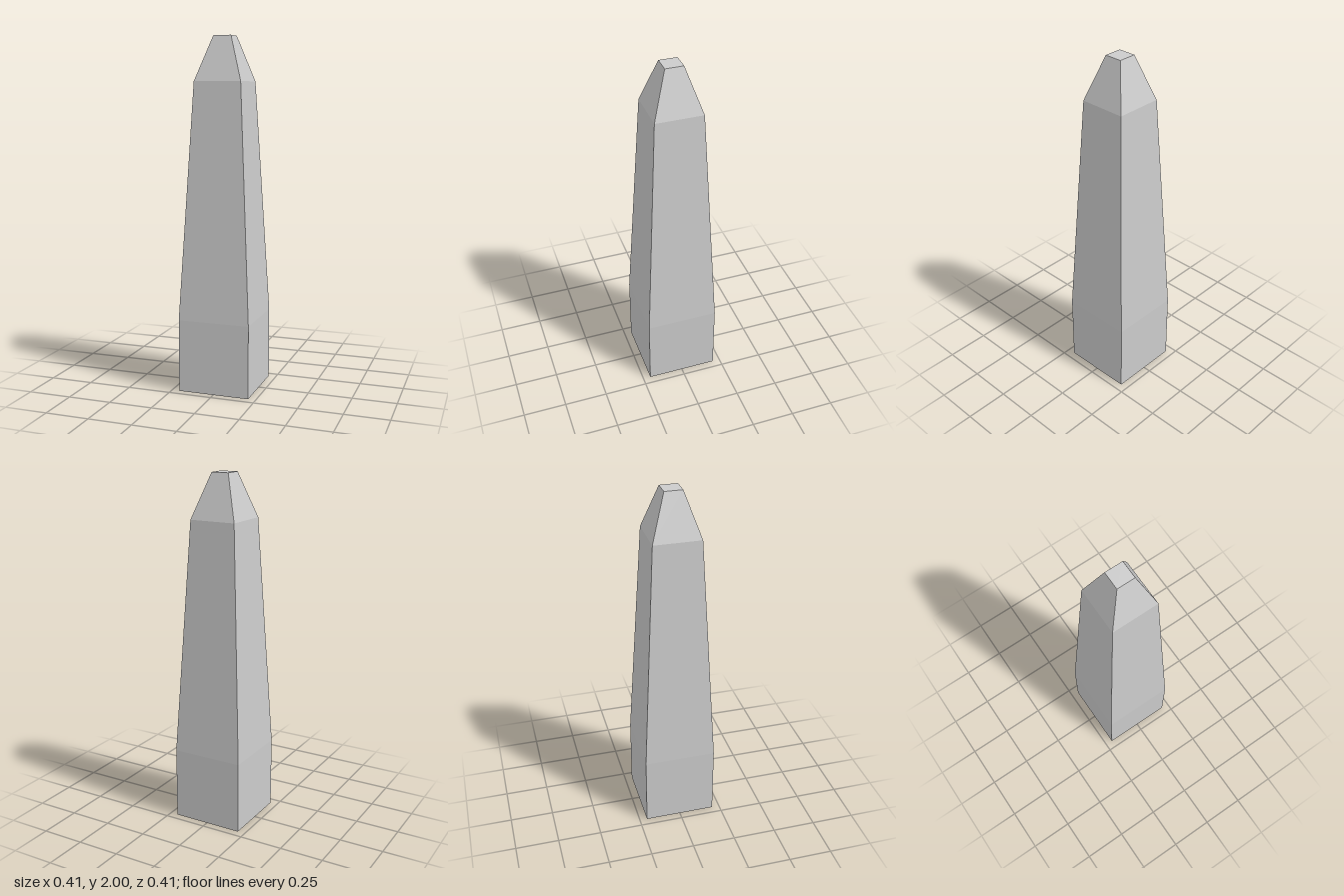
import * as THREE from 'three';

// Square cross-sections from bottom to top: [height, half width]
const SECTIONS = [
  [0, 0.206],
  [0.415, 0.206],
  [1.75, 0.135],
  [2, 0.051],
];
const NAMES = ['base', 'shaft', 'tip'];

export function createModel() {
  const group = new THREE.Group();
  group.name = 'obelisk';
  const material = new THREE.MeshStandardMaterial({ color: 0xcccccc, flatShading: true });

  // Each part is an open four-sided frustum between two sections
  NAMES.forEach((name, i) => {
    const [y0, h0] = SECTIONS[i];
    const [y1, h1] = SECTIONS[i + 1];
    const geometry = new THREE.CylinderGeometry(h1 * Math.SQRT2, h0 * Math.SQRT2, y1 - y0, 4, 1, true);
    geometry.rotateY(Math.PI / 4);
    geometry.translate(0, (y0 + y1) / 2, 0);
    const mesh = new THREE.Mesh(geometry, material);
    mesh.name = name;
    group.add(mesh);
  });

  // Flat squares close the bottom and the top
  const addCap = (name, [y, half], facing) => {
    const cap = new THREE.Mesh(new THREE.PlaneGeometry(2 * half, 2 * half), material);
    cap.name = name;
    cap.rotation.x = -facing * Math.PI / 2;
    cap.position.y = y;
    group.add(cap);
  };
  addCap('underside', SECTIONS[0], -1);
  addCap('topFace', SECTIONS[3], 1);

  return group;
}
